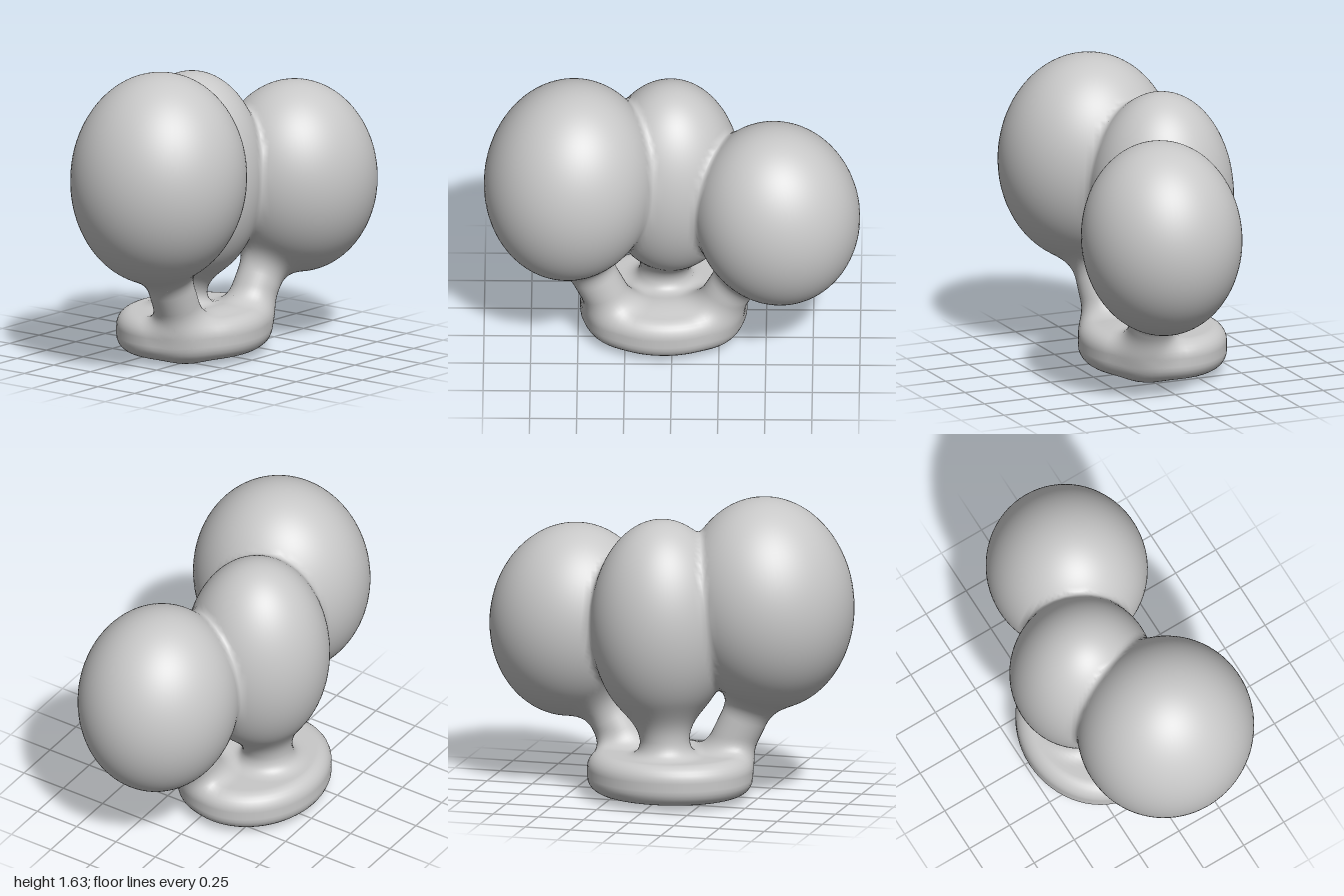
import * as THREE from 'three';

const clay = new THREE.MeshStandardMaterial({ color: 0xc8c8c8 });
clay.name = 'grey clay';

// Egg-shaped lobes, leaning about z
const lobes = [
  { name: 'rightLobe', centre: [-0.539, 1.03, 0.045], radii: [0.46, 0.57, 0.476], lean: -0.1 },
  { name: 'middleLobe', centre: [-0.01, 0.925, -0.15], radii: [0.38, 0.565, 0.388], lean: 0 },
  { name: 'leftLobe', centre: [0.557, 0.86, 0.105], radii: [0.442, 0.522, 0.426], lean: 0.13 },
];
// Low ridge joining the two front stems
const ridge = { name: 'frontRidge', centre: [-0.03, 0.135, 0.06], radii: [0.34, 0.1, 0.13], lean: 0 };
const stems = [
  { name: 'rightStem', from: [-0.28, 0.12, 0.02], to: [-0.49, 0.56, 0.04], radius: 0.122 },
  { name: 'middleStem', from: [-0.05, 0.12, -0.2], to: [-0.03, 0.5, -0.19], radius: 0.132 },
  { name: 'leftStem', from: [0.2, 0.12, 0.03], to: [0.4, 0.5, 0.06], radius: 0.122 },
];
// Flat oval base with a rounded rim
const base = { x: -0.045, z: -0.115, rx: 0.445, rz: 0.385, half: 0.11, round: 0.085 };

for (const e of [...lobes, ridge]) {
  e.matrix = new THREE.Matrix4().makeRotationZ(e.lean).setPosition(...e.centre);
  e.inverse = e.matrix.clone().invert();
}
for (const s of stems) {
  s.line = new THREE.Line3(new THREE.Vector3(...s.from), new THREE.Vector3(...s.to));
}

// Signed distances to each kind of part
const local = new THREE.Vector3();
function eggDistance(p, e) {
  local.copy(p).applyMatrix4(e.inverse);
  const [a, b, c] = e.radii;
  const k0 = Math.hypot(local.x / a, local.y / b, local.z / c);
  const k1 = Math.hypot(local.x / a / a, local.y / b / b, local.z / c / c);
  return k0 * (k0 - 1) / Math.max(k1, 1e-6);
}
function stemDistance(p, s) {
  return s.line.closestPointToPoint(p, true, local).distanceTo(p) - s.radius;
}
function baseDistance(p) {
  const q = Math.hypot((p.x - base.x) / base.rx, (p.z - base.z) / base.rz);
  const dr = (q - 1) * 0.41 + base.round;
  const dy = Math.abs(p.y - base.half) - base.half + base.round;
  return Math.min(Math.max(dr, dy), 0) + Math.hypot(Math.max(dr, 0), Math.max(dy, 0)) - base.round;
}

// Soft union, k is the width of the fillet
function blend(a, b, k) {
  const h = Math.max(k - Math.abs(a - b), 0) / k;
  return Math.min(a, b) - h * h * k / 4;
}
function field(p) {
  let foot = blend(baseDistance(p), eggDistance(p, ridge), 0.06);
  for (const s of stems) foot = blend(foot, stemDistance(p, s), 0.09);
  const top = lobes.map((e) => eggDistance(p, e)).reduce((a, b) => blend(a, b, 0.04));
  return blend(foot, top, 0.1);
}
function gradient(p, out) {
  const h = 0.002;
  const probe = p.clone();
  for (const axis of ['x', 'y', 'z']) {
    probe[axis] = p[axis] + h;
    const ahead = field(probe);
    probe[axis] = p[axis] - h;
    out[axis] = (ahead - field(probe)) / (2 * h);
    probe[axis] = p[axis];
  }
  return out;
}

// Pull a part's vertices onto the soft union so the parts flow together
function addPart(group, name, geometry) {
  const pos = geometry.attributes.position;
  const normal = geometry.attributes.normal;
  const p = new THREE.Vector3();
  const g = new THREE.Vector3();
  for (let i = 0; i < pos.count; i++) {
    p.fromBufferAttribute(pos, i);
    if (Math.abs(field(p)) > 0.1) continue;
    for (let step = 0; step < 5; step++) {
      gradient(p, g);
      p.addScaledVector(g, -field(p) / Math.max(g.lengthSq(), 0.3));
    }
    pos.setXYZ(i, p.x, p.y, p.z);
    gradient(p, g).normalize();
    normal.setXYZ(i, g.x, g.y, g.z);
  }
  const mesh = new THREE.Mesh(geometry, clay);
  mesh.name = name;
  group.add(mesh);
}

function eggGeometry(e, segments) {
  return new THREE.SphereGeometry(1, segments, Math.round(segments * 0.75))
    .scale(...e.radii).applyMatrix4(e.matrix);
}

function stemGeometry(s) {
  const axis = s.line.delta(new THREE.Vector3());
  const length = axis.length();
  const turn = new THREE.Quaternion().setFromUnitVectors(new THREE.Vector3(0, 1, 0), axis.normalize());
  const middle = s.line.getCenter(new THREE.Vector3());
  return new THREE.CylinderGeometry(s.radius, s.radius, length, 36, 24, true)
    .applyQuaternion(turn).translate(middle.x, middle.y, middle.z);
}

function baseGeometry() {
  const profile = [];
  for (let i = 0; i <= 16; i++) profile.push(new THREE.Vector2(0.8 * i / 16, 0));
  for (let i = 1; i < 16; i++) {
    const a = Math.PI * (i / 16 - 0.5);
    profile.push(new THREE.Vector2(0.8 + 0.2 * Math.cos(a), base.half * (1 + Math.sin(a))));
  }
  for (let i = 16; i >= 0; i--) profile.push(new THREE.Vector2(0.8 * i / 16, base.half * 2));
  return new THREE.LatheGeometry(profile, 64)
    .scale(base.rx, 1, base.rz).translate(base.x, 0, base.z);
}

export function createModel() {
  const model = new THREE.Group();
  model.name = 'threeLobedSprout';
  addPart(model, 'base', baseGeometry());
  addPart(model, ridge.name, eggGeometry(ridge, 40));
  for (const s of stems) addPart(model, s.name, stemGeometry(s));
  for (const e of lobes) addPart(model, e.name, eggGeometry(e, 72));
  return model;
}
